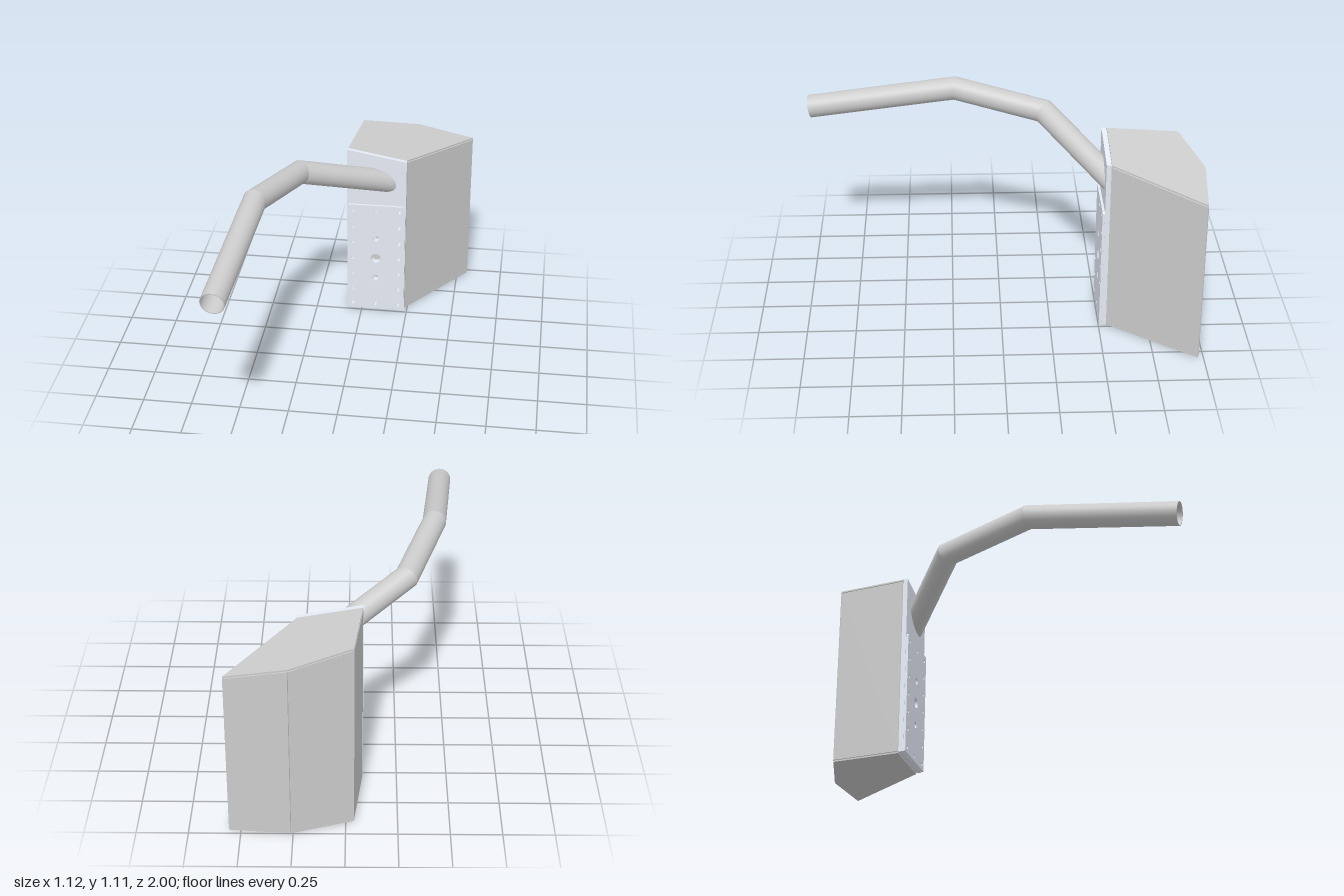
import * as THREE from 'three';

const grey = new THREE.MeshStandardMaterial({ color: 0xcccccc });
const tubeGrey = new THREE.MeshStandardMaterial({ color: 0xcccccc, side: THREE.DoubleSide });
const pale = new THREE.MeshStandardMaterial({ color: 0xe4e9f4 });

const topY = (x) => 0.966 - 0.18 * x; // sloping roof line

function addMesh(parent, name, geometry, material = grey) {
  const mesh = new THREE.Mesh(geometry, material);
  mesh.name = name;
  parent.add(mesh);
  return mesh;
}

// Upright prism over an [x, z] footprint, between two height rules
function prism(points, low, high) {
  const shape = new THREE.Shape(points.map(([x, z]) => new THREE.Vector2(x, -z)));
  const g = new THREE.ExtrudeGeometry(shape, { depth: 1, bevelEnabled: false });
  g.rotateX(-Math.PI / 2);
  const p = g.attributes.position;
  for (let i = 0; i < p.count; i++) p.setY(i, p.getY(i) > 0.5 ? high(p.getX(i)) : low(p.getX(i)));
  g.computeVertexNormals();
  return g;
}

// Vertical plate drilled with [x, y, radius] holes
function plate(points, holes, z, depth) {
  const shape = new THREE.Shape(points.map(([x, y]) => new THREE.Vector2(x, y)));
  for (const [x, y, r] of holes) {
    shape.holes.push(new THREE.Path().absarc(x, y, r, 0, Math.PI * 2, true));
  }
  return new THREE.ExtrudeGeometry(shape, { depth, bevelEnabled: false, curveSegments: 12 }).translate(0, 0, z);
}

// Smooth strip between two rings; normalOf gives the normal for each index
function strip(a, b, normalOf) {
  const pos = [], nor = [], idx = [], n = a.length;
  for (let i = 0; i <= n; i++) {
    for (const ring of [a, b]) {
      pos.push(...ring[i % n].toArray());
      nor.push(...normalOf(i % n).toArray());
    }
    if (i < n) idx.push(2 * i, 2 * i + 2, 2 * i + 1, 2 * i + 1, 2 * i + 2, 2 * i + 3);
  }
  const g = new THREE.BufferGeometry();
  g.setAttribute('position', new THREE.Float32BufferAttribute(pos, 3));
  g.setAttribute('normal', new THREE.Float32BufferAttribute(nor, 3));
  g.setIndex(idx);
  return g;
}

// Rings of a pipe with mitred bends, the last one cut flush with the plate
function pipeRings(path, radius, sides = 40) {
  const dirs = path.slice(1).map((p, i) => p.clone().sub(path[i]).normalize());
  const u = new THREE.Vector3(0, 1, 0).cross(dirs[0]).normalize();
  const v = dirs[0].clone().cross(u);
  const rings = [[]];
  for (let i = 0; i < sides; i++) {
    const t = (i / sides) * Math.PI * 2;
    rings[0].push(path[0].clone().addScaledVector(u, radius * Math.cos(t)).addScaledVector(v, radius * Math.sin(t)));
  }
  dirs.forEach((d, k) => {
    const normal = k + 1 < dirs.length ? d.clone().add(dirs[k + 1]) : new THREE.Vector3(0, 0, 1);
    rings.push(rings[k].map((p) => {
      const step = path[k + 1].clone().sub(p).dot(normal) / d.dot(normal);
      return p.clone().addScaledVector(d, step);
    }));
  });
  return { rings, dirs };
}

export function createModel() {
  const model = new THREE.Group();
  model.name = 'housingWithPipe';

  // Five-sided housing: core, folded wall panels, floor and lid
  const housing = new THREE.Group();
  housing.name = 'housing';
  model.add(housing);
  const foot = [[-0.08, -0.54], [0.235, -0.54], [0.56, -0.975], [0.26, -1], [-0.04, -0.9]];
  const centre = [0.16, -0.77];
  const inset = (s) => foot.map((p) => p.map((c, i) => centre[i] + (c - centre[i]) * s));
  const inner = inset(0.94);
  addMesh(housing, 'core', prism(inset(0.97), () => 0.004, (x) => topY(x) - 0.005));
  addMesh(housing, 'floor', prism(inset(0.99), () => 0, () => 0.008));
  addMesh(housing, 'lid', prism(inset(0.993), (x) => topY(x) - 0.008, topY));
  const mix = (a, b, t) => [a[0] + (b[0] - a[0]) * t, a[1] + (b[1] - a[1]) * t];
  foot.forEach((a, i) => {
    const j = (i + 1) % foot.length, b = foot[j], gap = 0.008;
    const corners = [mix(a, b, gap), mix(b, a, gap), mix(inner[j], inner[i], gap), mix(inner[i], inner[j], gap)];
    addMesh(housing, 'wallPanel' + (i + 1), prism(corners, () => 0.01, (x) => topY(x) - 0.012));
  });

  // Bolt holes around the edge, larger holes along the middle
  const holes = [[0.077, 0.04, 0.01], [0.077, 0.626, 0.01], [0.077, 0.21, 0.018], [0.077, 0.333, 0.028], [0.077, 0.456, 0.018]];
  for (let i = 0; i < 7; i++) {
    for (const x of [-0.048, 0.202]) holes.push([x, 0.04 + i * 0.0977, 0.01]);
  }

  // Front plate and the drilled mounting plate on it
  const x0 = -0.082, x1 = 0.236;
  addMesh(model, 'frontPlate', plate([[x0, 0.006], [x1, 0.006], [x1, topY(x1)], [x0, topY(x0)]], holes, -0.5395, 0.0245), pale);
  const c = 0.008;
  addMesh(model, 'mountingPlate', plate(
    [[x0 + 0.002, 0.008], [x1 - 0.002, 0.008], [x1 - 0.002, 0.66 - c], [x1 - c, 0.66], [x0 + c, 0.66], [x0 + 0.002, 0.66 - c]],
    holes, -0.515, 0.012), pale);

  // Hollow pipe with two mitred bends
  const pipe = new THREE.Group();
  pipe.name = 'pipe';
  model.add(pipe);
  const path = [[-0.5, 0.93, 0.99], [-0.44, 1.05, 0.225], [-0.29, 0.98, -0.235], [0.088, 0.81, -0.52]]
    .map((p) => new THREE.Vector3(...p));
  const outer = pipeRings(path, 0.06), bore = pipeRings(path, 0.056);
  const skin = (name, { rings, dirs }, sign) => dirs.forEach((d, k) => {
    const radial = (i) => {
      const r = rings[k][i].clone().sub(path[k]);
      return r.addScaledVector(d, -r.dot(d)).normalize().multiplyScalar(sign);
    };
    const [a, b] = sign > 0 ? [rings[k], rings[k + 1]] : [rings[k + 1], rings[k]];
    // DoubleSide flips normals on back faces, so winding follows the normals
    addMesh(pipe, name + (k + 1), strip(a, b, radial), tubeGrey);
  });
  skin('pipeSection', outer, 1);
  skin('pipeBore', bore, -1);
  const back = outer.dirs[0].clone().negate();
  addMesh(pipe, 'pipeRim', strip(bore.rings[0], outer.rings[0], () => back), tubeGrey);

  return model;
}
